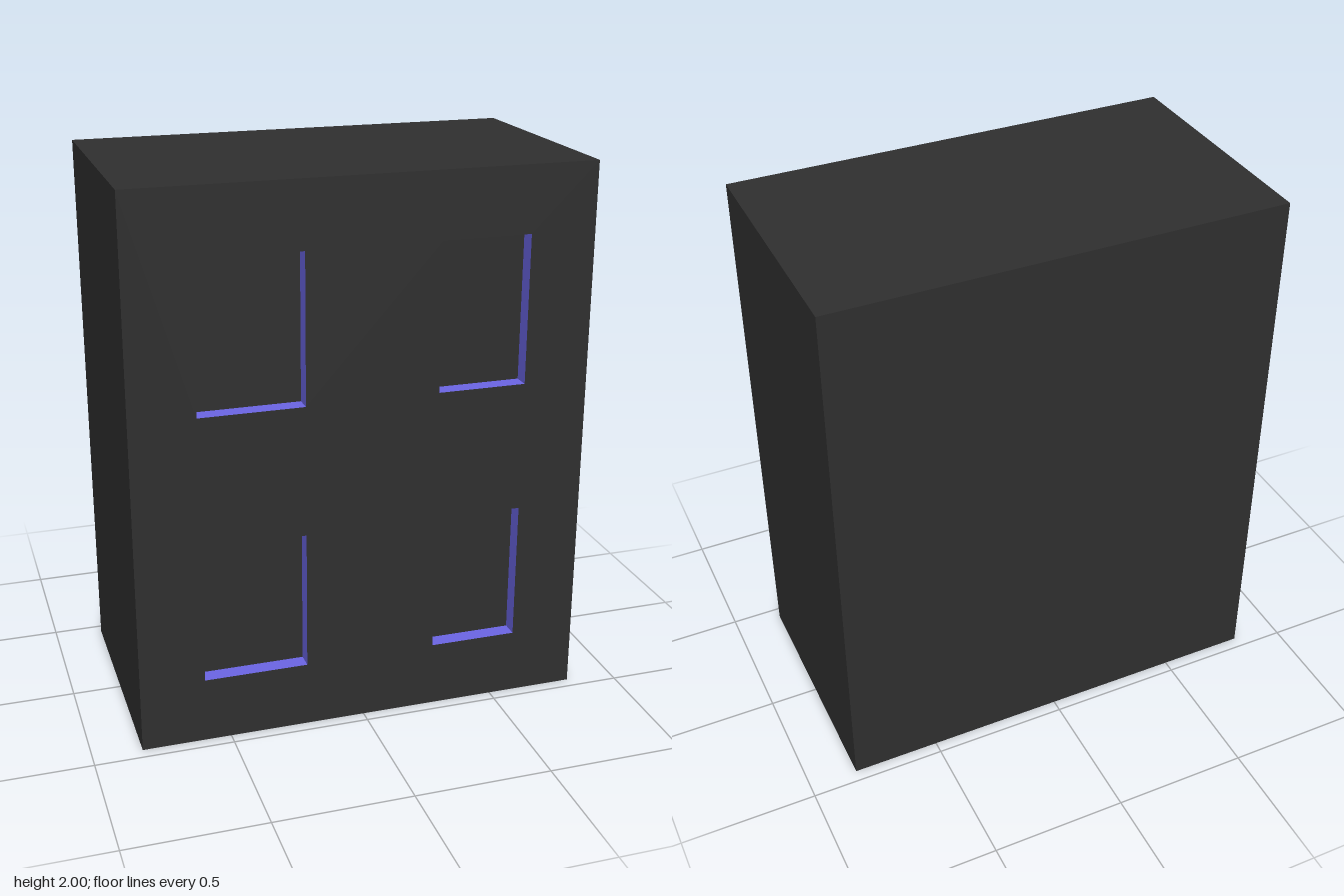
import * as THREE from 'three';

const W = 1.645, H = 2, D = 0.91, RECESS = 0.06;
const FRONT = D / 2;

// Box without its front face, or without both its front and back faces
function openBox(w, h, d, keepBack) {
  const g = new THREE.BoxGeometry(w, h, d);
  const idx = Array.from(g.index.array); // six indices per side; front is fifth, back is sixth
  g.setIndex(keepBack ? [...idx.slice(0, 24), ...idx.slice(30)] : idx.slice(0, 24));
  g.clearGroups();
  return g;
}

export function createModel() {
  const model = new THREE.Group();
  model.name = 'building';
  const wallMat = new THREE.MeshStandardMaterial({ color: 0x303030 });
  const liningMat = new THREE.MeshStandardMaterial({ color: 0x6c66e6, side: THREE.DoubleSide });

  const add = (parent, name, geometry, material, x, y, z) => {
    const mesh = new THREE.Mesh(geometry, material);
    mesh.name = name;
    mesh.position.set(x, y, z);
    parent.add(mesh);
  };

  // Outer walls, roof and base
  add(model, 'shell', openBox(W, H, D, true), wallMat, 0, H / 2, 0);

  // Front wall with four window openings
  const wall = new THREE.Shape([
    new THREE.Vector2(-W / 2, 0), new THREE.Vector2(W / 2, 0),
    new THREE.Vector2(W / 2, H), new THREE.Vector2(-W / 2, H),
  ]);

  const columns = [[-0.59, -0.215], [0.265, 0.585]];
  const rows = [[0.24, 0.75], [1.225, 1.762]];
  for (const [x0, x1] of columns) {
    for (const [y0, y1] of rows) {
      wall.holes.push(new THREE.Path([
        new THREE.Vector2(x0, y0), new THREE.Vector2(x0, y1),
        new THREE.Vector2(x1, y1), new THREE.Vector2(x1, y0),
      ]));

      // Coloured lining around a dark recessed pane
      const w = x1 - x0, h = y1 - y0;
      const recess = new THREE.Group();
      recess.name = 'window';
      recess.position.set((x0 + x1) / 2, (y0 + y1) / 2, FRONT - RECESS);
      add(recess, 'windowLining', openBox(w, h, RECESS, false), liningMat, 0, 0, RECESS / 2);
      add(recess, 'windowPane', new THREE.PlaneGeometry(w, h), wallMat, 0, 0, 0);
      model.add(recess);
    }
  }
  add(model, 'frontWall', new THREE.ShapeGeometry(wall), wallMat, 0, 0, FRONT);

  return model;
}
